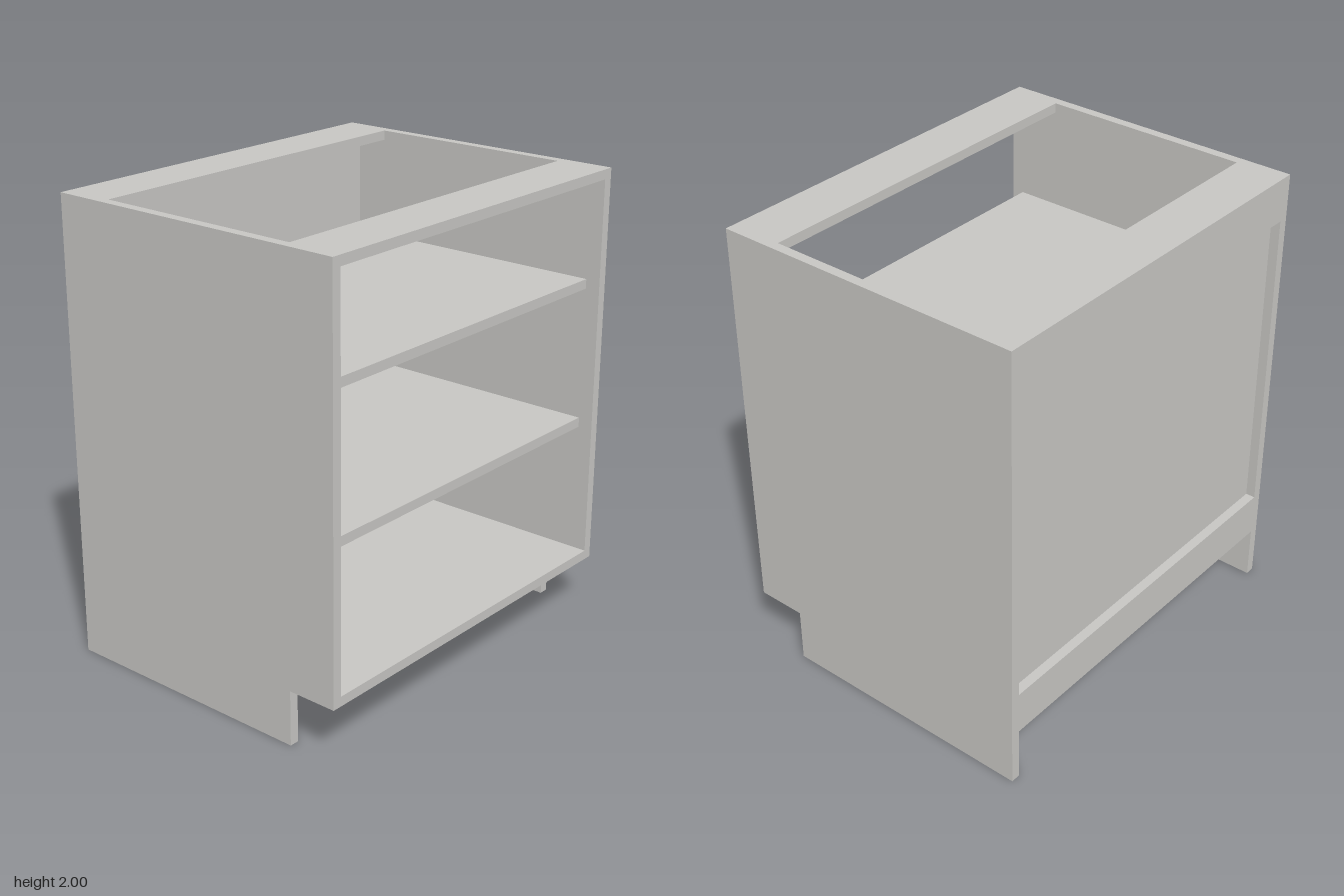
import * as THREE from 'three';

const W = 0.87;   // half width
const D = 0.695;  // half depth
const T = 0.042;  // board thickness
const IN = W - T; // half width between the sides
const KICK = 0.24, KICK_Z = 0.475, H = 2;

export function createModel() {
  const cabinet = new THREE.Group();
  cabinet.name = 'cabinet';
  const board = new THREE.MeshStandardMaterial({ color: 0xc8c7c4 });
  board.name = 'light grey board';

  // Board given by its half width and its y and z ranges
  function addBoard(name, halfWidth, y0, y1, z0, z1) {
    const mesh = new THREE.Mesh(new THREE.BoxGeometry(2 * halfWidth, y1 - y0, z1 - z0), board);
    mesh.position.set(0, (y0 + y1) / 2, (z0 + z1) / 2);
    mesh.name = name;
    cabinet.add(mesh);
  }

  // Side panels, notched at the front for the toe space
  const profile = new THREE.Shape([
    [-D, 0], [KICK_Z, 0], [KICK_Z, KICK], [D, KICK], [D, H], [-D, H],
  ].map(([z, y]) => new THREE.Vector2(-z, y)));
  const sideGeometry = new THREE.ExtrudeGeometry(profile, { depth: T, bevelEnabled: false });
  sideGeometry.rotateY(Math.PI / 2); // profile depth to z, thickness to x
  for (const [name, x] of [['leftSide', IN], ['rightSide', -W]]) {
    const side = new THREE.Mesh(sideGeometry, board);
    side.position.x = x;
    side.name = name;
    cabinet.add(side);
  }

  // Floor and the two flat top rails
  const floorTop = KICK + T, railBottom = H - T;
  addBoard('floor', IN, KICK, floorTop, -D, D);
  addBoard('frontTopRail', IN, railBottom, H, 0.46, D);
  addBoard('backTopRail', IN, railBottom, H, -D, -0.47);

  // Recessed back panel held by upright rails behind it
  const backZ = -D + T, panelFront = backZ + T;
  addBoard('backPanel', IN, floorTop, railBottom, backZ, panelFront);
  addBoard('upperBackRail', IN, railBottom - 0.15, railBottom, -D, backZ);
  addBoard('lowerBackRail', IN, floorTop, floorTop + 0.15, -D, backZ);

  // Shelves, set back from the front with a small gap at each side
  for (const [name, y] of [['lowerShelf', 0.86], ['upperShelf', 1.483]]) {
    addBoard(name, IN - 0.008, y, y + T, panelFront, D - 0.06);
  }
  return cabinet;
}
